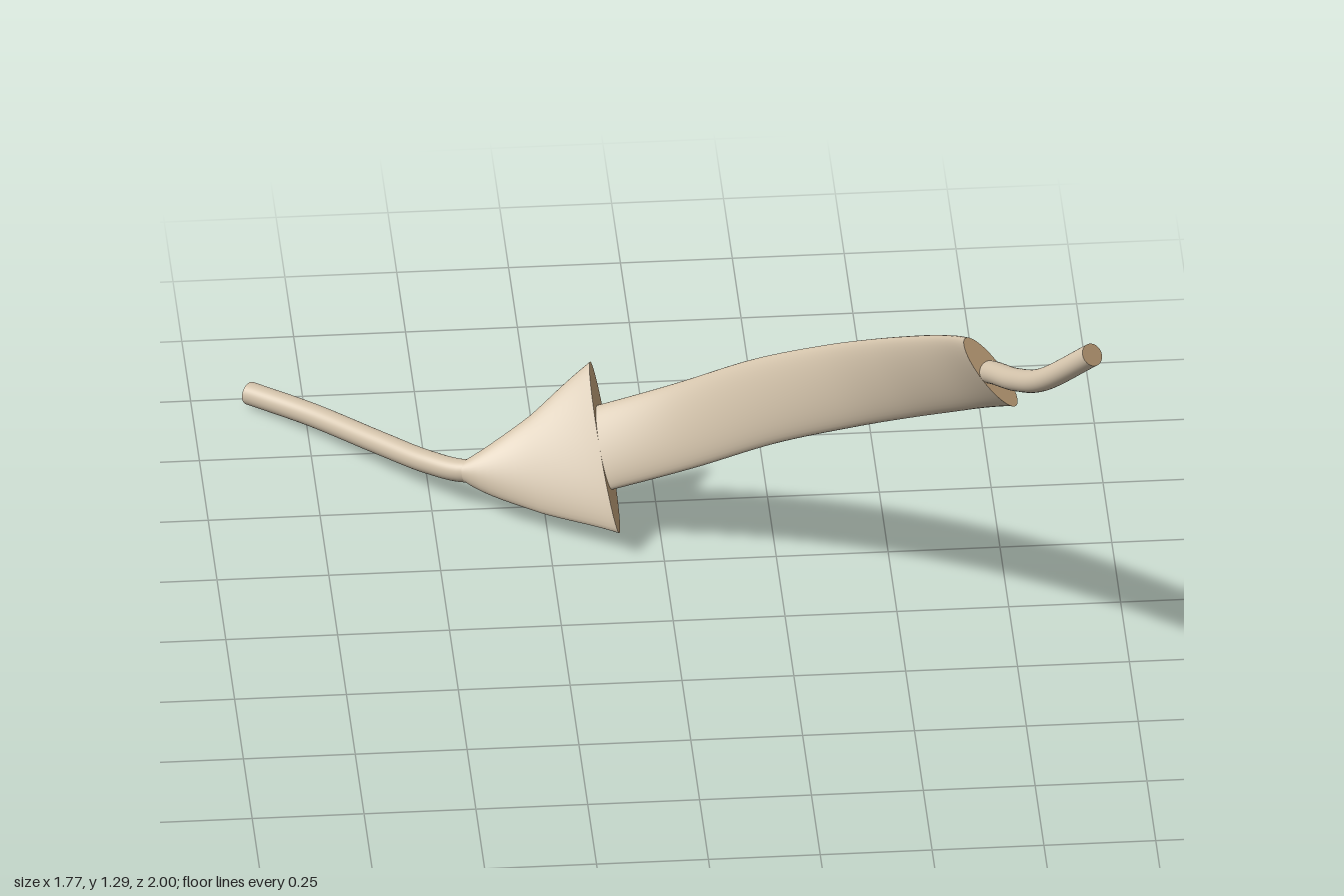
import * as THREE from 'three';

const THICK = 0.026; // half thickness of the whole ribbon
const SIDES = 40;

// Centre line, from the thin end behind the arrowhead to the other thin end
const path = new THREE.CatmullRomCurve3([
  [-0.87, 0.027, -0.982], [-0.74, 0.043, -0.855], [-0.6, 0.062, -0.695],
  [-0.5, 0.076, -0.585], [-0.42, 0.09, -0.52], [-0.27, 0.135, -0.465],
  [-0.12, 0.2, -0.42], [0.05, 0.295, -0.345], [0.22, 0.43, -0.22],
  [0.38, 0.57, -0.05], [0.48, 0.685, 0.11], [0.56, 0.8, 0.28],
  [0.62, 0.892, 0.42], [0.665, 0.98, 0.567], [0.71, 1.06, 0.73],
  [0.76, 1.14, 0.86], [0.86, 1.272, 0.975],
].map((p) => new THREE.Vector3(...p)));
const LAST = 16;

// Direction of the ribbon's width turns slowly along the body
const wideA = new THREE.Vector3(0.15, -0.71, 0.69);
const wideB = new THREE.Vector3(0.57, -0.78, 0.26);

function frameAt(knot) {
  const u = THREE.MathUtils.clamp(knot / LAST, 0, 1);
  const c = path.getPoint(u);
  const t = path.getTangent(u);
  const w = wideA.clone().lerp(wideB, THREE.MathUtils.clamp((knot - 6) / 7, 0, 1));
  w.addScaledVector(t, -w.dot(t)).normalize();
  return { c, w, n: t.clone().cross(w) };
}

function ring(knot, halfWidth) {
  const { c, w, n } = frameAt(knot);
  return Array.from({ length: SIDES }, (_, j) => {
    const a = (j / SIDES) * Math.PI * 2;
    return c.clone().addScaledVector(w, Math.cos(a) * halfWidth)
      .addScaledVector(n, Math.sin(a) * THICK);
  });
}

function meshFrom(points, index, material, name) {
  const g = new THREE.BufferGeometry().setFromPoints(points);
  g.setIndex(index);
  g.computeVertexNormals();
  const m = new THREE.Mesh(g, material);
  m.name = name;
  return m;
}

// Elliptical sweep between two knots of the centre line, closed by flat caps
function sweep(name, from, to, width, side, capMat) {
  const group = new THREE.Group();
  group.name = name;
  const steps = Math.ceil((to - from) * 8);
  const points = [], index = [];
  for (let i = 0; i <= steps; i++) {
    const s = i / steps;
    points.push(...ring(from + (to - from) * s, width(s)));
  }
  for (let i = 0; i < steps; i++) {
    for (let j = 0; j < SIDES; j++) {
      const k = (j + 1) % SIDES;
      const a = i * SIDES + j, b = i * SIDES + k;
      index.push(a, b, a + SIDES, b, b + SIDES, a + SIDES);
    }
  }
  group.add(meshFrom(points, index, side, name + 'Surface'));
  for (const end of [0, 1]) {
    const knot = end ? to : from;
    const cap = [frameAt(knot).c, ...ring(knot, width(end))];
    const fan = [];
    for (let j = 0; j < SIDES; j++) {
      const a = 1 + j, b = 1 + ((j + 1) % SIDES);
      fan.push(0, ...(end ? [a, b] : [b, a]));
    }
    group.add(meshFrom(cap, fan, capMat, name + (end ? 'EndCap' : 'StartCap')));
  }
  return group;
}

export function createModel() {
  const model = new THREE.Group();
  model.name = 'ribbonArrow';
  const side = new THREE.MeshStandardMaterial({ color: 0xd2c2aa });
  const cap = new THREE.MeshStandardMaterial({ color: 0xc4a47c });

  // Thin round ends
  model.add(sweep('tipTube', 0, 4, () => THICK, side, cap));
  model.add(sweep('tailTube', 13, 16, () => THICK, side, cap));
  // Arrowhead widening from the thin tube to its flat base
  model.add(sweep('arrowHead', 4, 6, (s) => THICK + (0.197 - THICK) * s, side, cap));
  // Flat curved body
  model.add(sweep('arrowBody', 6, 13, () => 0.097, side, cap));
  return model;
}
